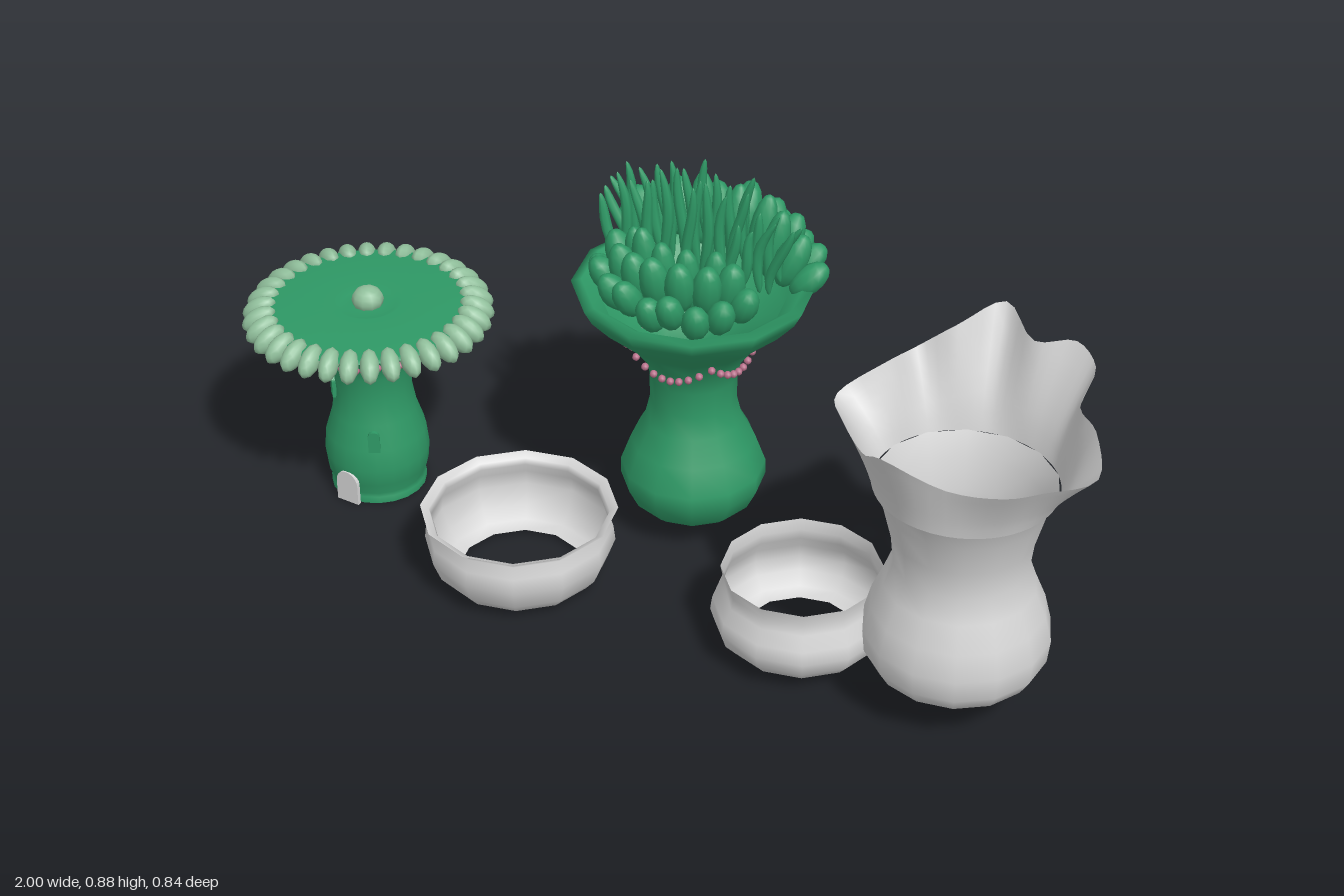
import * as THREE from 'three';

const mat = (name, color, double) => {
  const m = new THREE.MeshStandardMaterial({ color });
  m.name = name;
  if (double) m.side = THREE.DoubleSide;
  return m;
};

export function createModel() {
  const green = mat('green', 0x2e9865, true);
  const pale = mat('pale green', 0x90bf9b);
  const pink = mat('pink', 0xb8708a);
  const grey = mat('light grey', 0xd4d4d4, true);
  const root = new THREE.Group();

  const group = (name, x, z) => {
    const g = new THREE.Group();
    g.name = name;
    g.position.set(x, 0, z);
    root.add(g);
    return g;
  };
  const add = (parent, name, geo, material) => {
    const m = new THREE.Mesh(geo, material);
    m.name = name;
    parent.add(m);
    return m;
  };
  // thin turned wall from [radius, height] pairs
  const lathe = (pts, sides) =>
    new THREE.LatheGeometry(pts.map(p => new THREE.Vector2(p[0], p[1])), sides);
  const ellipsoid = (rx, ry, rz) => new THREE.SphereGeometry(1, 10, 8).scale(rx, ry, rz);

  let seed = 7;
  const rand = () => (seed = (seed * 16807) % 2147483647) / 2147483647;

  // string of beads hung in scallops; angles run from +x towards +z
  const garland = (parent, start, scallops, width, beads, top, drop, rTop, rLow, size) => {
    for (let s = 0; s < scallops; s++) {
      for (let i = 0; i < beads; i++) {
        const t = i / beads;
        const sag = 4 * t * (1 - t);
        const a = start + (s + t) * width;
        const r = rTop + (rLow - rTop) * sag;
        add(parent, 'garlandBead', new THREE.SphereGeometry(size, 8, 6), pink)
          .position.set(Math.cos(a) * r, top - drop * sag, Math.sin(a) * r);
      }
    }
  };

  // --- Flower-topped tower ---
  const tower = group('flowerTower', -0.73, 0.09);
  add(tower, 'stalk', lathe([[0.106, 0], [0.106, 0.016], [0.1, 0.022], [0.112, 0.05], [0.116, 0.09],
    [0.111, 0.14], [0.094, 0.195], [0.085, 0.25], [0.088, 0.31], [0.103, 0.36], [0.14, 0.4],
    [0.19, 0.43], [0.235, 0.448]], 20), green);
  add(tower, 'capTop', lathe([[0.235, 0.448], [0.23, 0.456], [0.075, 0.462], [0.06, 0.454],
    [0.03, 0.456], [0, 0.457]], 32), green);
  add(tower, 'centreBud', ellipsoid(0.035, 0.03, 0.035), pale).position.y = 0.467;
  for (let i = 0; i < 34; i++) {
    const pivot = new THREE.Group();
    pivot.name = 'petal';
    pivot.rotation.y = (i / 34) * Math.PI * 2;
    tower.add(pivot);
    const p = add(pivot, 'petalBody', ellipsoid(0.041, 0.025, 0.021), pale);
    p.position.set(0.236, 0.443, 0);
    p.rotation.z = -0.55;
  }
  garland(tower, -0.1, 4, 0.84, 9, 0.412, 0.025, 0.19, 0.165, 0.008);

  // arched door and window plates
  const arch = (w, h, depth) => {
    const s = new THREE.Shape();
    s.moveTo(-w / 2, 0);
    s.lineTo(w / 2, 0);
    s.lineTo(w / 2, h - w / 2);
    s.absarc(0, h - w / 2, w / 2, 0, Math.PI, false);
    return new THREE.ExtrudeGeometry(s, { depth, bevelEnabled: false, curveSegments: 6 });
  };
  add(tower, 'door', arch(0.056, 0.078, 0.009), grey).position.set(0, 0.002, 0.109);
  for (const [a, y, r] of [[-0.76, 0.235, 0.084], [0.6, 0.14, 0.104]]) {
    const w = add(tower, 'window', arch(0.026, 0.052, 0.009), green);
    w.position.set(Math.sin(a) * r, y, Math.cos(a) * r);
    w.rotation.y = a;
  }

  // --- Green vase with tentacles ---
  const vase = group('tentacleVase', -0.04, -0.13);
  add(vase, 'vaseBody', lathe([[0.112, 0.065], [0.135, 0.085], [0.157, 0.13], [0.157, 0.165], [0.135, 0.225],
    [0.105, 0.28], [0.093, 0.33], [0.094, 0.39], [0.108, 0.44], [0.145, 0.49], [0.2, 0.535],
    [0.24, 0.58], [0.257, 0.612], [0.235, 0.617], [0.2, 0.59]], 12), green);
  garland(vase, -0.8, 2, 1.57, 9, 0.482, 0.05, 0.145, 0.115, 0.0085);
  garland(vase, 2.34, 1, 0.9, 6, 0.482, 0.04, 0.145, 0.118, 0.0085);

  // fat tentacles in three rings, thinned out along the x axis
  const rings = [[22, 0.205, 0.03, 0.05, 0.62, 0.75], [18, 0.17, 0.032, 0.065, 0.66, 0.38],
    [14, 0.135, 0.028, 0.08, 0.67, 0.2]];
  for (const [count, r, width, half, y, lean] of rings) {
    for (let i = 0; i < count; i++) {
      const a = ((i + 0.5) / count) * Math.PI * 2 + (rand() - 0.5) * 0.1;
      const dz = -Math.sin(a) * r;
      if (Math.abs(dz) < 0.06) continue;
      const back = dz < 0;
      const pivot = new THREE.Group();
      pivot.name = 'fatTentacle';
      pivot.rotation.y = a;
      vase.add(pivot);
      const t = add(pivot, 'fatTentacleBody', ellipsoid(width, half, width), green);
      t.position.set(r + (back ? 0.035 : -0.02), y + 0.015 + (rand() - 0.5) * 0.03, 0);
      t.rotation.z = -lean * (back ? 1.1 : 0.7);
    }
  }
  // slender tentacles in a band along x, bent outwards
  for (let i = 0; i < 30; i++) {
    const u = (i / 29) * 2 - 1;
    const x = u * 0.185;
    const z = ((i * 3) % 7 / 6 - 0.5) * 0.11;
    const top = 0.885 - 0.07 * u * u - rand() * 0.05;
    const base = 0.625 + rand() * 0.03;
    const geo = new THREE.SphereGeometry(1, 7, 10).scale(0.012, (top - base) / 2, 0.012);
    const pos = geo.attributes.position;
    for (let k = 0; k < pos.count; k++) {
      const h = pos.getY(k) / (top - base) + 0.5;
      pos.setX(k, pos.getX(k) + u * 0.045 * h * h + 0.008 * Math.sin(h * 5 + i));
    }
    geo.computeVertexNormals();
    add(vase, 'slenderTentacle', geo, green).position.set(x, (top + base) / 2, z);
  }

  // --- Grey bowls ---
  const bowlA = group('leftBowl', -0.258, 0.222);
  add(bowlA, 'bowlWall', lathe([[0.135, 0.012], [0.165, 0.02], [0.186, 0.045], [0.203, 0.09], [0.199, 0.125],
    [0.187, 0.15], [0.192, 0.163], [0.21, 0.172]], 12), grey);
  const bowlB = group('rightBowl', 0.375, 0.13);
  add(bowlB, 'bowlWall', lathe([[0.125, 0.026], [0.155, 0.034], [0.178, 0.06], [0.187, 0.09], [0.183, 0.12],
    [0.166, 0.15], [0.162, 0.175], [0.167, 0.2]], 12), grey);

  // --- Grey vase with ruffled mouth ---
  const ruffled = group('ruffledVase', 0.725, 0.13);
  add(ruffled, 'vaseBody', lathe([[0.13, 0.1], [0.165, 0.112], [0.185, 0.145], [0.19, 0.195], [0.176, 0.25],
    [0.153, 0.305], [0.135, 0.355], [0.142, 0.42], [0.16, 0.49], [0.182, 0.537]], 14), grey);

  // wavy rim curve, lofted up from the collar
  const rim = new THREE.CatmullRomCurve3([
    [0.275, 0.655, 0.02], [0.21, 0.66, 0.12], [0.16, 0.665, 0.18], [0.05, 0.655, 0.2], [-0.07, 0.705, 0.235],
    [-0.14, 0.655, 0.17], [-0.22, 0.66, 0.1], [-0.285, 0.645, 0], [-0.22, 0.695, -0.08], [-0.2, 0.69, -0.165],
    [-0.13, 0.745, -0.2], [-0.07, 0.77, -0.29], [0.02, 0.74, -0.23], [0.1, 0.755, -0.25], [0.155, 0.73, -0.22],
    [0.17, 0.7, -0.12], [0.23, 0.7, -0.06]].map(p => new THREE.Vector3(...p)), true);
  const around = 68, rows = 6;
  const verts = [], index = [];
  for (let j = 0; j <= rows; j++) {
    const t = j / rows;
    for (let i = 0; i < around; i++) {
      const p = rim.getPoint(i / around);
      const a = Math.atan2(p.z, p.x);
      const k = Math.pow(t, 1.25);
      verts.push(THREE.MathUtils.lerp(Math.cos(a) * 0.182, p.x, k),
        THREE.MathUtils.lerp(0.535, p.y, t),
        THREE.MathUtils.lerp(Math.sin(a) * 0.182, p.z, k));
      if (j < rows) {
        const n = (i + 1) % around, b = j * around, c = b + around;
        index.push(b + i, c + i, b + n, b + n, c + i, c + n);
      }
    }
  }
  const ruffle = new THREE.BufferGeometry();
  ruffle.setAttribute('position', new THREE.Float32BufferAttribute(verts, 3));
  ruffle.setIndex(index);
  ruffle.computeVertexNormals();
  add(ruffled, 'ruffledMouth', ruffle, grey);

  return root;
}
